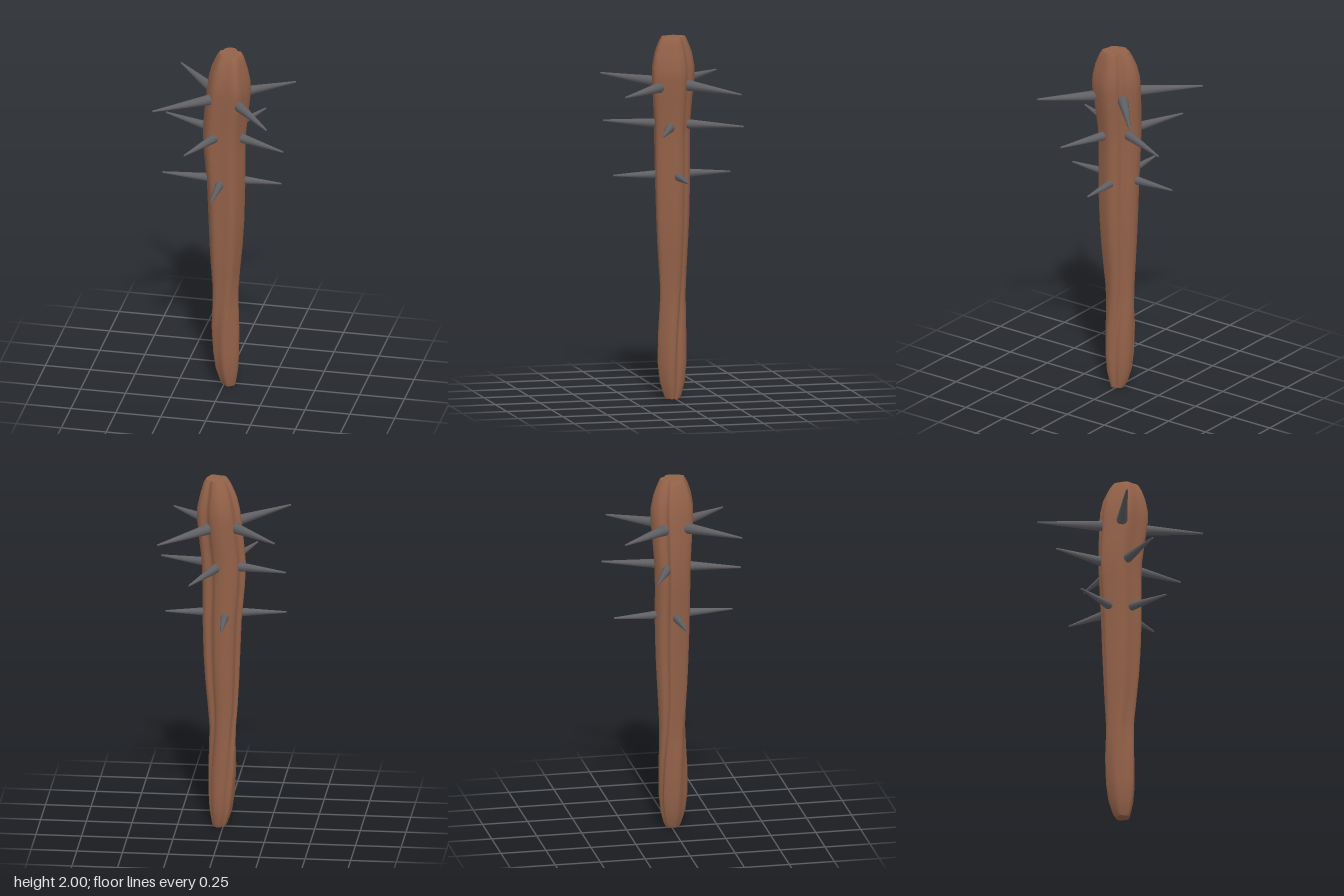
import * as THREE from 'three';

const wood = new THREE.MeshStandardMaterial({ color: 0x946249 });
wood.name = 'brown wood';
const iron = new THREE.MeshStandardMaterial({ color: 0x616064 });
iron.name = 'grey iron';

// Lumpy cross-section of the club with two grooves, running from +x towards +z
const section = new THREE.CatmullRomCurve3([
  [0.148, 0.0], [0.128, 0.07], [0.09, 0.128], [0.01, 0.115], [-0.06, 0.1], [-0.098, 0.035], [-0.112, -0.03],
  [-0.084, -0.05], [-0.066, -0.092], [0.0, -0.118], [0.06, -0.095], [0.084, -0.058], [0.125, -0.045],
].map(([x, z]) => new THREE.Vector3(x, 0, z)), true);

// Heights with the extents of the club: y, min x, max x, min z, max z
const levels = [
  [0.005, -0.013, 0.06, -0.03, 0.05], [0.03, -0.025, 0.066, -0.042, 0.06], [0.1, -0.048, 0.078, -0.06, 0.08],
  [0.2, -0.062, 0.084, -0.07, 0.09], [0.35, -0.07, 0.084, -0.071, 0.09], [0.48, -0.069, 0.079, -0.07, 0.084],
  [0.58, -0.071, 0.077, -0.069, 0.08], [0.7, -0.08, 0.086, -0.075, 0.087], [0.85, -0.088, 0.1, -0.083, 0.097],
  [1.0, -0.094, 0.109, -0.09, 0.104], [1.2, -0.102, 0.114, -0.095, 0.11], [1.4, -0.12, 0.114, -0.096, 0.111],
  [1.52, -0.126, 0.118, -0.098, 0.112], [1.65, -0.115, 0.132, -0.107, 0.123], [1.77, -0.102, 0.145, -0.115, 0.134],
  [1.84, -0.093, 0.143, -0.114, 0.133], [1.91, -0.075, 0.128, -0.1, 0.12], [1.96, -0.053, 0.114, -0.08, 0.102],
  [1.985, -0.04, 0.106, -0.068, 0.09], [2.0, -0.028, 0.096, -0.06, 0.08],
];
const SIDES = 52;

// One ring: the section twisted near the handle and fitted to its extents
function ring([y, x0, x1, z0, z1]) {
  const twist = 0.55 * (1 - THREE.MathUtils.smoothstep(y, 0.2, 0.75));
  const pts = [];
  for (let i = 0; i < SIDES; i++) {
    pts.push(section.getPoint(i / SIDES).applyAxisAngle(new THREE.Vector3(0, 1, 0), -twist));
  }
  const box = new THREE.Box3().setFromPoints(pts);
  return pts.map((p) => new THREE.Vector3(
    THREE.MathUtils.mapLinear(p.x, box.min.x, box.max.x, x0, x1),
    y,
    THREE.MathUtils.mapLinear(p.z, box.min.z, box.max.z, z0, z1)));
}

function indexed(points, index) {
  const geometry = new THREE.BufferGeometry().setFromPoints(points);
  geometry.setIndex(index);
  geometry.computeVertexNormals();
  return geometry;
}

// Smooth wall through all rings
function wallGeometry(rings) {
  const index = [];
  for (let j = 0; j < rings.length - 1; j++) {
    for (let i = 0; i < SIDES; i++) {
      const n = (i + 1) % SIDES;
      const a = j * SIDES + i, b = j * SIDES + n;
      const c = a + SIDES, d = b + SIDES;
      index.push(a, c, b, b, c, d);
    }
  }
  return indexed(rings.flat(), index);
}

// Flat end closing a ring
function capGeometry(points, up) {
  const centre = new THREE.Vector3();
  points.forEach((p) => centre.addScaledVector(p, 1 / SIDES));
  const index = [];
  for (let i = 0; i < SIDES; i++) {
    const n = (i + 1) % SIDES;
    index.push(SIDES, up ? n : i, up ? i : n);
  }
  return indexed([...points, centre], index);
}

// Spikes by row: base radius, then base and tip points
const spikeRows = [
  { radius: 0.031, spikes: [
    [[-0.07, 1.74, -0.05], [-0.312, 1.752, -0.32]], [[0.07, 1.735, -0.06], [0.33, 1.712, -0.298]],
    [[0.085, 1.732, 0.09], [0.305, 1.718, 0.345]], [[-0.06, 1.74, 0.07], [-0.335, 1.756, 0.322]]] },
  { radius: 0.027, spikes: [
    [[-0.08, 1.517, -0.04], [-0.358, 1.528, -0.15]], [[0.03, 1.515, -0.07], [0.15, 1.506, -0.358]],
    [[0.09, 1.51, 0.038], [0.356, 1.5, 0.15]], [[-0.04, 1.515, 0.085], [-0.15, 1.524, 0.355]]] },
  { radius: 0.025, spikes: [
    [[-0.08, 1.237, 0.008], [-0.345, 1.245, 0.013]], [[0.08, 1.237, 0], [0.315, 1.233, -0.003]],
    [[-0.015, 1.237, -0.07], [-0.022, 1.235, -0.325]], [[-0.01, 1.237, 0.08], [-0.008, 1.24, 0.335]]] },
];

function makeSpike(base, tip, radius) {
  const from = new THREE.Vector3(...base), to = new THREE.Vector3(...tip);
  const along = to.clone().sub(from);
  const spike = new THREE.Mesh(new THREE.CylinderGeometry(0.005, radius, along.length(), 10), iron);
  spike.position.copy(from).add(to).multiplyScalar(0.5);
  spike.quaternion.setFromUnitVectors(new THREE.Vector3(0, 1, 0), along.normalize());
  spike.name = 'spike';
  return spike;
}

export function createModel() {
  const model = new THREE.Group();
  model.name = 'spikedClub';

  // Wooden club
  const rings = levels.map(ring);
  const parts = {
    clubBody: wallGeometry(rings),
    clubTop: capGeometry(rings[rings.length - 1], true),
    clubBottom: capGeometry(rings[0], false),
  };
  for (const [name, geometry] of Object.entries(parts)) {
    const mesh = new THREE.Mesh(geometry, wood);
    mesh.name = name;
    model.add(mesh);
  }

  // Three rows of iron spikes
  for (const { radius, spikes } of spikeRows) {
    const row = new THREE.Group();
    row.name = 'spikeRow';
    for (const [base, tip] of spikes) row.add(makeSpike(base, tip, radius));
    model.add(row);
  }
  return model;
}
